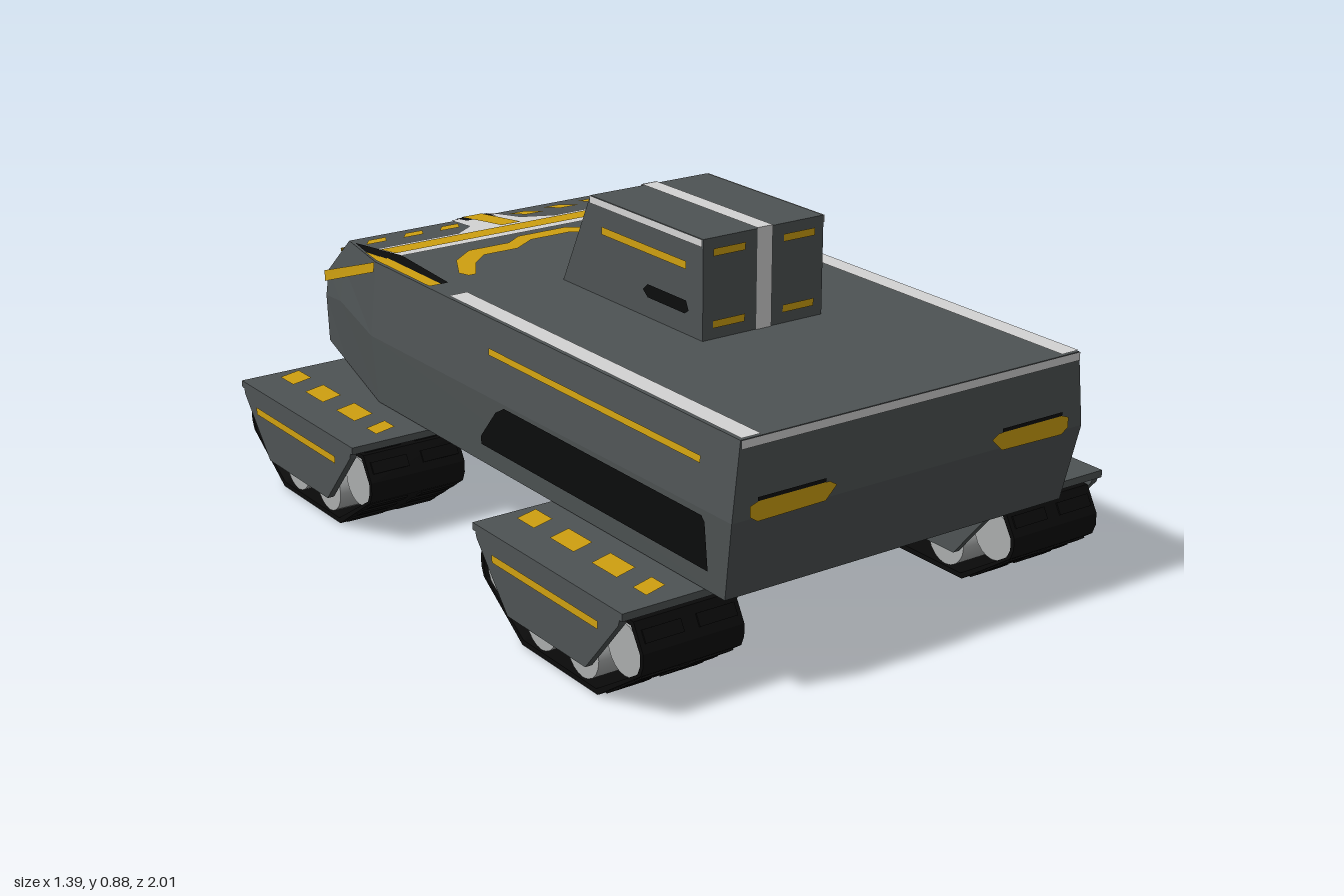
import * as THREE from 'three';

const std = (color, side = THREE.FrontSide) => new THREE.MeshStandardMaterial({ color, side });

export function createModel() {
  const root = new THREE.Group();
  const mats = {
    armour: std(0x4e5354),
    gold: std(0xcfa010, THREE.DoubleSide),
    white: std(0xd4d4d4, THREE.DoubleSide),
    black: std(0x0c0d0d, THREE.DoubleSide),
    rubber: std(0x0a0a0a),
    wheel: std(0xaaadad),
  };
  for (const key in mats) mats[key].name = key;

  const add = (parent, name, geo, mat, x = 0, y = 0, z = 0) => {
    const mesh = new THREE.Mesh(geo, mat);
    mesh.name = name;
    mesh.position.set(x, y, z);
    parent.add(mesh);
    return mesh;
  };
  const shapeOf = pts => new THREE.Shape(pts.map(p => new THREE.Vector2(...p)));

  // Painted plate: a flat outline laid onto a surface by a mapping rule
  const paint = (parent, name, mat, pts, map) => {
    const geo = new THREE.ShapeGeometry(shapeOf(pts));
    const pos = geo.attributes.position;
    for (let i = 0; i < pos.count; i++) pos.setXYZ(i, ...map(pos.getX(i), pos.getY(i)));
    geo.computeVertexNormals();
    return add(parent, name, geo, mat);
  };
  const rect = (a, b, c, d) => [[a, c], [b, c], [b, d], [a, d]];

  // Hull: four corner points per side at each station, lofted rear to nose
  const stations = [
    [[.48, .27, .96], [.495, .46, 1], [.475, .64, 1], [.475, .64, 1]],
    [[.48, .27, -.5], [.495, .45, -.5], [.475, .64, -.5], [.475, .64, -.5]],
    [[.397, .27, -.82], [.408, .44, -.82], [.392, .531, -.82], [.375, .6, -.82]],
    [[.35, .27, -1], [.355, .4, -1], [.345, .47, -1], [.345, .47, -1]],
  ];
  const verts = [];
  const quad = (a, b, c, d) => verts.push(...a, ...b, ...c, ...a, ...c, ...d);
  const P = (s, j) => stations[s][j];
  const M = (s, j) => [-P(s, j)[0], P(s, j)[1], P(s, j)[2]];
  for (let s = 0; s < 3; s++) {
    for (let j = 0; j < 3; j++) {
      quad(P(s, j), P(s + 1, j), P(s + 1, j + 1), P(s, j + 1));
      quad(M(s, j), M(s, j + 1), M(s + 1, j + 1), M(s + 1, j));
    }
    quad(M(s, 3), P(s, 3), P(s + 1, 3), M(s + 1, 3));
    quad(M(s, 0), M(s + 1, 0), P(s + 1, 0), P(s, 0));
  }
  for (let j = 0; j < 3; j++) {
    quad(M(0, j), P(0, j), P(0, j + 1), M(0, j + 1));
    quad(M(3, j), M(3, j + 1), P(3, j + 1), P(3, j));
  }
  const hullGeo = new THREE.BufferGeometry();
  hullGeo.setAttribute('position', new THREE.Float32BufferAttribute(verts, 3));
  hullGeo.computeVertexNormals();
  add(root, 'hull', hullGeo, mats.armour);

  // Surface rules for the hull paint
  const topY = z => z > -.5 ? .64 : z > -.82 ? .64 + (z + .5) * .125 : .6 + (z + .82) * .722;
  const onTop = (s, e = .004) => (x, z) => [s * x, topY(z) + e, z];
  const sideX = (y, z) => (y < .455 ? .48 + (y - .27) * .081 : .495 - (y - .455) * .108) - .28 * Math.max(0, -.5 - z);
  const onSide = s => (z, y) => [s * (sideX(y, z) + .004), y, z];
  const onRear = s => (x, y) => [s * x, y, 1.003];
  const onNose = (s, e = .003) => (x, y) => [s * x, y, -1 - e];

  // Hood centre stripes and cross bands
  paint(root, 'hoodWhiteBand', mats.white, rect(-.4, .4, -.64, -.502), onTop(1, .003));
  paint(root, 'hoodGoldBand', mats.gold, rect(-.4, .4, -.61, -.53), onTop(1, .006));
  paint(root, 'hoodWhiteFlare', mats.white,
    [[-.15, -.64], [.15, -.64], [.08, -.7], [.065, -.82], [-.065, -.82], [-.08, -.7]], onTop(1, .003));
  for (const [a, b, c] of [[-.62, -.82, -.77], [-.82, -1, -.82]]) {
    paint(root, 'hoodGoldStripe', mats.gold, rect(-.03, .03, b, a), onTop(1, .007));
    paint(root, 'hoodBlackStripe', mats.black, rect(-.046, .046, b, c), onTop(1, .005));
  }
  paint(root, 'noseStripe', mats.gold, rect(-.045, .045, .27, .47), onNose(1));
  paint(root, 'rearTopBand', mats.white, rect(-.475, .475, .62, .64), onRear(1));

  for (const s of [1, -1]) {
    // Hood markings
    for (const x of [.08, .19, .3]) {
      paint(root, 'hoodDash', mats.gold, [[x, -.76], [x + .05, -.76], [x + .085, -.71], [x + .025, -.71]], onTop(s));
      paint(root, 'hoodDash', mats.gold, [[x, -.92], [x + .045, -.92], [x + .075, -.87], [x + .015, -.87]], onTop(s));
    }
    paint(root, 'hoodArch', mats.gold, [[0, -.475], [.07, -.475], [.12, -.44], [.24, -.44], [.31, -.385], [.36, -.29],
      [.35, -.26], [.33, -.26], [.28, -.34], [.23, -.385], [.13, -.385], [.06, -.43], [0, -.43]], onTop(s));
    paint(root, 'shoulderBlack', mats.black, [[.42, -.24], [.44, -.24], [.44, -.5], [.4, -.5]], onTop(s));
    paint(root, 'shoulderBlackTip', mats.black, [[.4, -.5], [.445, -.5], [.432, -.63], [.39, -.76]], onTop(s));
    paint(root, 'shoulderGold', mats.gold, rect(.44, .473, -.5, -.24), onTop(s));
    paint(root, 'shoulderGoldTip', mats.gold, [[.445, -.5], [.473, -.5], [.434, -.63]], onTop(s));
    paint(root, 'noseEdge', mats.gold, [[-.5, .64], [-1, .47], [-1, .44], [-.5, .615]], onSide(s));
    // Top, side and rear markings
    paint(root, 'topStripe', mats.white, rect(.422, .472, -.15, 1), onTop(s));
    paint(root, 'sideStripe', mats.gold, rect(.05, .88, .555, .571), onSide(s));
    paint(root, 'sidePanel', mats.black,
      [[.91, .32], [.91, .435], [.9, .447], [.13, .447], [.09, .425], [.01, .34], [.01, .32]], onSide(s));
    paint(root, 'tailLight', mats.gold,
      [[.22, .485], [.25, .455], [.43, .452], [.45, .465], [.45, .49], [.43, .497], [.24, .497]], onRear(s));
    paint(root, 'tailLightTrim', mats.black, rect(.25, .43, .497, .506), onRear(s));
    // Nose lamps: white frame, dark inset and two gold bars
    paint(root, 'lampFrame', mats.white, rect(.075, .315, .285, .45), onNose(s));
    paint(root, 'lampInset', mats.armour, s > 0 ? rect(.105, .285, .31, .425).reverse() : rect(.105, .285, .31, .425), onNose(s, .005))
      .material = mats.lamp ??= Object.assign(std(0x4e5354, THREE.DoubleSide), { name: 'lampGrey' });
    for (const y of [.335, .385]) paint(root, 'lampBar', mats.gold, rect(.12, .27, y, y + .02), onNose(s, .007));
  }

  // Turret with a sloping face toward the nose
  const turret = new THREE.Group();
  turret.name = 'turret';
  root.add(turret);
  const turretGeo = new THREE.BoxGeometry(.344, .24, .57);
  const tp = turretGeo.attributes.position;
  for (let i = 0; i < tp.count; i++) if (tp.getY(i) > 0 && tp.getZ(i) < 0) tp.setZ(i, tp.getZ(i) + .12);
  turretGeo.computeVertexNormals();
  add(turret, 'turretBody', turretGeo, mats.armour, 0, .76, .175);
  paint(turret, 'turretTopStripe', mats.white, rect(-.022, .022, .01, .463), (x, z) => [x, .883, z]);
  paint(turret, 'turretRearStripe', mats.white, rect(-.022, .022, .64, .883), (x, y) => [x, y, .463]);
  paint(turret, 'turretSlopeStripe', mats.white, rect(-.022, .022, .64, .883),
    (x, y) => [x, y, -.114 + (y - .64) * .5]);
  for (const s of [1, -1]) {
    const onTurret = (z, y) => [s * .175, y, z];
    paint(turret, 'turretEdge', mats.white, rect(.01, .46, .862, .88), onTurret);
    paint(turret, 'turretSideStripe', mats.gold, rect(.06, .4, .796, .815), onTurret);
    paint(turret, 'turretVent', mats.black,
      [[.41, .7], [.395, .69], [.25, .69], [.23, .705], [.25, .722], [.4, .722]], onTurret);
    for (const y of [.667, .837]) {
      paint(turret, 'turretRearBar', mats.gold, rect(.055, .145, y, y + .018), (x, v) => [s * x, v, .463]);
    }
  }

  // Track pods: extrusions run along x, outlines lie in z and y
  const acrossX = (shape, width) => new THREE.ExtrudeGeometry(shape, { depth: width, bevelEnabled: false })
    .translate(0, 0, -width / 2).rotateY(Math.PI / 2);
  const belt = [[.15, .012], [.31, .12], [.32, .145], [.32, .175], [.285, .237],
    [-.285, .237], [-.32, .175], [-.32, .145], [-.31, .12], [-.15, .012]];
  const beltShape = shapeOf(belt);
  beltShape.holes.push(new THREE.Path(belt.map(([u, v]) => new THREE.Vector2(u * .965, .13 + (v - .13) * .89))));
  const beltGeo = acrossX(beltShape, .264);
  const skirtGeo = acrossX(shapeOf([[-.155, .09], [.155, .09], [.28, .235], [.29, .267], [-.29, .267], [-.28, .235]]), .018);
  const fenderGeo = new THREE.BoxGeometry(.335, .018, .59);
  const wheelGeo = new THREE.CylinderGeometry(.062, .062, .25, 20).rotateZ(Math.PI / 2);
  const lugGeo = new THREE.BoxGeometry(.1, .008, .03);

  for (const s of [1, -1]) for (const zc of [.592, -.555]) {
    const pod = new THREE.Group();
    pod.name = zc > 0 ? 'rearTrackPod' : 'noseTrackPod';
    pod.position.set(s * .5225, 0, zc);
    root.add(pod);
    add(pod, 'fender', fenderGeo, mats.armour, 0, .259, 0);
    for (const x of [-.158, .158]) add(pod, 'skirt', skirtGeo, mats.armour, x);
    add(pod, 'trackBelt', beltGeo, mats.rubber);
    for (const [z, y] of [[.242, .155], [.083, .087], [-.083, .087], [-.242, .155]]) {
      add(pod, 'roadWheel', wheelGeo, mats.wheel, 0, y, z);
    }
    // Tread lugs around the belt
    belt.forEach(([u, v], i) => {
      const [u2, v2] = belt[(i + 1) % belt.length];
      const n = Math.floor(Math.hypot(u2 - u, v2 - v) / .055);
      for (let k = 0; k < n; k++) for (const x of [-.07, .07]) {
        const t = (k + .5) / n;
        const lug = add(pod, 'treadLug', lugGeo, mats.rubber, x, v + (v2 - v) * t, u + (u2 - u) * t);
        lug.rotation.x = -Math.atan2(v2 - v, u2 - u);
      }
    });
    // Pod markings
    const onSkirt = (z, y) => [s * .171, y, z];
    paint(pod, 'skirtStripe', mats.gold, rect(-.21, .21, .201, .22), onSkirt);
    if (s > 0 && zc < 0) {
      paint(pod, 'skirtUpperTrim', mats.white, rect(-.245, .245, .228, .242), onSkirt);
      paint(pod, 'skirtLowerTrim', mats.white, rect(-.14, .13, .12, .134), onSkirt);
    }
    for (const [a, b] of [[-.27, -.18], [-.135, -.02], [.03, .145], [.185, .255]]) {
      paint(pod, 'fenderDash', mats.gold, [[.015, a], [.078, a + .02], [.078, b], [.015, b - .02]],
        (x, z) => [s * x, .272, z]);
    }
  }
  return root;
}
